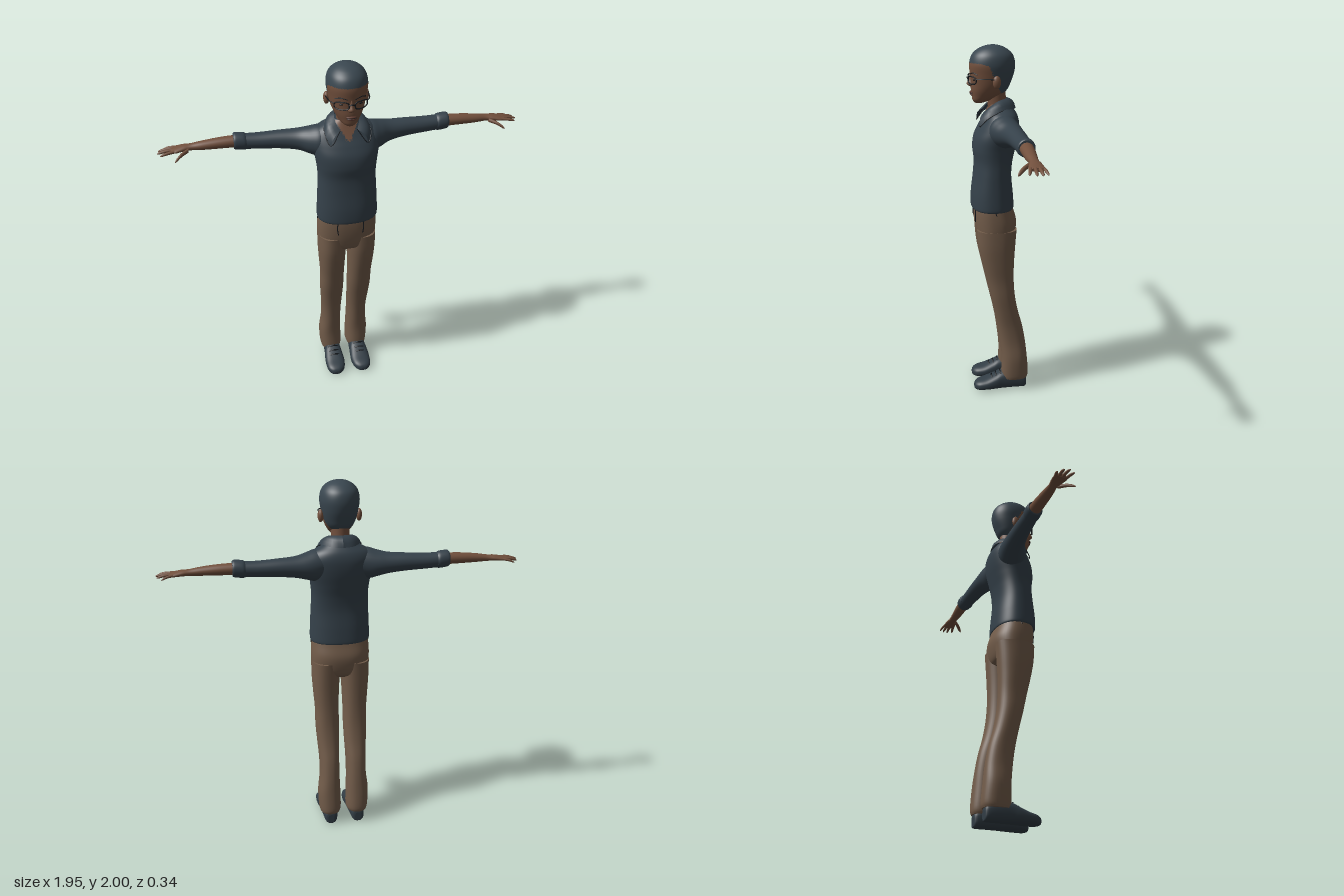
import * as THREE from 'three';

const mat = (name, color, side = THREE.FrontSide) => {
  const m = new THREE.MeshStandardMaterial({ color, side });
  m.name = name;
  return m;
};

// Smooth value between section rows (Catmull-Rom on every column)
function sample(rows, t) {
  const f = t * (rows.length - 1), i = Math.min(Math.floor(f), rows.length - 2), k = f - i;
  const p = [i - 1, i, i + 1, i + 2].map(j => rows[Math.max(0, Math.min(rows.length - 1, j))]);
  return p[1].map((b, c) => {
    const a = p[0][c], d = p[2][c], e = p[3][c];
    return b + 0.5 * k * (d - a + k * (2 * a - 5 * b + 4 * d - e + k * (3 * (b - d) + e - a)));
  });
}

// Skin rounded cross-sections along an axis. Row: [position, u0, u1, v0, v1]
// axis y: u = x, v = z;  axis x: u = z, v = y;  axis z: u = y, v = x
function loft(axis, rows, { n = 24, m = 24, power = 2, pick = null } = {}) {
  const pos = [], idx = [[], []];
  const put = (s, u, v) => pos.push(...(axis === 'y' ? [u, s, v] : axis === 'x' ? [s, v, u] : [v, u, s]));
  const ring = r => {
    for (let j = 0; j < n; j++) {
      const a = j / n * Math.PI * 2, c = Math.cos(a), d = Math.sin(a);
      put(r[0], (r[1] + r[2]) / 2 + (r[2] - r[1]) / 2 * Math.sign(c) * Math.abs(c) ** (2 / power),
        (r[3] + r[4]) / 2 + (r[4] - r[3]) / 2 * Math.sign(d) * Math.abs(d) ** (2 / power));
    }
  };
  const tri = (a, b, c) => {
    const mid = [0, 1, 2].map(k => (pos[a * 3 + k] + pos[b * 3 + k] + pos[c * 3 + k]) / 3);
    idx[pick ? pick(...mid) : 0].push(a, b, c);
  };
  for (let i = 0; i <= m; i++) ring(sample(rows, i / m));
  for (let i = 0; i < m; i++) for (let j = 0; j < n; j++) {
    const a = i * n + j, b = i * n + (j + 1) % n;
    tri(a, a + n, b);
    tri(b, a + n, b + n);
  }
  for (const end of [0, 1]) {
    const r = rows[end ? rows.length - 1 : 0], base = pos.length / 3;
    ring(r);
    put(r[0], (r[1] + r[2]) / 2, (r[3] + r[4]) / 2);
    for (let j = 0; j < n; j++) {
      const a = base + j, b = base + (j + 1) % n;
      end ? tri(base + n, b, a) : tri(base + n, a, b);
    }
  }
  const g = new THREE.BufferGeometry();
  g.setAttribute('position', new THREE.Float32BufferAttribute(pos, 3));
  g.setIndex([...idx[0], ...idx[1]]);
  if (pick) {
    g.addGroup(0, idx[0].length, 0);
    g.addGroup(idx[0].length, idx[1].length, 1);
  }
  g.computeVertexNormals();
  return g;
}

function mirrored(geo) {
  const g = geo.clone().scale(-1, 1, 1), a = g.index.array;
  for (let i = 0; i < a.length; i += 3) [a[i], a[i + 1]] = [a[i + 1], a[i]];
  return g;
}

const tube = (pts, r, closed = false, seg = 24) => new THREE.TubeGeometry(
  new THREE.CatmullRomCurve3(pts.map(p => new THREE.Vector3(...p)), closed), seg, r, 6, closed);
const ball = (x, y, z, sx, sy, sz) => new THREE.SphereGeometry(1, 18, 12).scale(sx, sy, sz).translate(x, y, z);

export function createModel() {
  const model = new THREE.Group();
  model.name = 'person';
  const skin = mat('skin', 0x72503d), shirt = mat('shirt', 0x35414a), hair = mat('hair', 0x3a4750);
  const trousers = mat('trousers', 0x725c4a), shoe = mat('shoe', 0x323d45), dark = mat('dark', 0x15191d);
  const lip = mat('lip', 0x5e3b30), collarMat = mat('collar', 0x35414a, THREE.DoubleSide);
  const add = (name, geo, material) => {
    const mesh = new THREE.Mesh(geo, material);
    mesh.name = name;
    model.add(mesh);
  };
  const pair = (name, geo, material) => {
    add(name + 'Left', geo, material);
    add(name + 'Right', mirrored(geo), material);
  };

  // Head, with the hair as its own faces above the hairline
  const hairline = z => z > 0.06 ? 1.91 - Math.max(0, 0.1 - z) * 0.3
    : 1.74 + 0.155 * Math.max(0, Math.min(1, (z + 0.01) / 0.07));
  add('head', loft('y', [
    [1.695, -0.022, 0.022, 0.085, 0.13], [1.71, -0.043, 0.043, 0.04, 0.142], [1.735, -0.062, 0.062, -0.01, 0.146],
    [1.765, -0.078, 0.078, -0.045, 0.15], [1.80, -0.09, 0.09, -0.062, 0.15], [1.85, -0.1, 0.1, -0.08, 0.155],
    [1.90, -0.106, 0.106, -0.086, 0.158], [1.945, -0.097, 0.097, -0.075, 0.145], [1.975, -0.073, 0.073, -0.045, 0.115],
    [1.993, -0.04, 0.04, -0.008, 0.075], [2.0, -0.003, 0.003, 0.03, 0.036],
  ], { n: 88, m: 88, power: 2.1, pick: (x, y, z) => y > hairline(z) ? 1 : 0 }), [skin, hair]);
  add('neck', loft('y', [
    [1.60, -0.07, 0.07, -0.06, 0.06], [1.65, -0.056, 0.056, -0.05, 0.058],
    [1.70, -0.05, 0.05, -0.04, 0.062], [1.78, -0.052, 0.052, -0.035, 0.07],
  ]), skin);
  add('nose', loft('y', [
    [1.782, -0.012, 0.012, 0.13, 0.156], [1.79, -0.021, 0.021, 0.12, 0.168], [1.80, -0.018, 0.018, 0.12, 0.172],
    [1.82, -0.011, 0.011, 0.12, 0.163], [1.85, -0.007, 0.007, 0.12, 0.155],
  ], { n: 16, m: 14 }), skin);
  add('upperLip', ball(0, 1.752, 0.146, 0.027, 0.006, 0.011), lip);
  add('lowerLip', ball(0, 1.741, 0.145, 0.023, 0.007, 0.011), lip);
  add('mouthLine', ball(0, 1.747, 0.147, 0.026, 0.0018, 0.01), dark);
  pair('ear', ball(0.103, 1.815, 0.022, 0.016, 0.034, 0.022).rotateZ(0), skin);
  pair('eye', ball(0.044, 1.823, 0.136, 0.016, 0.006, 0.007), dark);
  pair('eyebrow', tube([[0.018, 1.85, 0.153], [0.05, 1.859, 0.142], [0.078, 1.85, 0.12]], 0.003), dark);

  // Glasses
  const lensDepth = x => 0.165 - 5 * x * x;
  const rim = [];
  for (let i = 0; i < 20; i++) {
    const a = i / 20 * Math.PI * 2, c = Math.cos(a), s = Math.sin(a);
    const x = 0.05 + 0.035 * Math.sign(c) * Math.abs(c) ** 0.7;
    rim.push([x, 1.821 + 0.02 * Math.sign(s) * Math.abs(s) ** 0.7, lensDepth(x)]);
  }
  pair('glassesRim', tube(rim, 0.0035, true, 48), dark);
  pair('glassesArm', tube([[0.085, 1.83, 0.129], [0.102, 1.832, 0.105], [0.109, 1.832, 0.06], [0.112, 1.828, 0.01]], 0.003), dark);
  add('glassesBridge', tube([[-0.016, 1.825, 0.164], [0, 1.83, 0.17], [0.016, 1.825, 0.164]], 0.0035), dark);

  // Shirt body with an open V at the throat
  add('shirtBody', loft('y', [
    [1.115, -0.163, 0.163, -0.078, 0.152], [1.13, -0.167, 0.167, -0.08, 0.157], [1.20, -0.165, 0.165, -0.075, 0.155],
    [1.30, -0.16, 0.16, -0.066, 0.143], [1.38, -0.157, 0.157, -0.072, 0.138], [1.45, -0.163, 0.163, -0.087, 0.145],
    [1.51, -0.173, 0.173, -0.1, 0.138], [1.56, -0.178, 0.178, -0.106, 0.115], [1.60, -0.175, 0.175, -0.105, 0.092],
    [1.635, -0.15, 0.15, -0.095, 0.074], [1.665, -0.1, 0.1, -0.075, 0.06], [1.69, -0.062, 0.062, -0.055, 0.05],
  ], { n: 80, m: 90, power: 2.3, pick: (x, y, z) => z > 0.03 && y > 1.58 + Math.abs(x) * 1.7 ? 1 : 0 }), [shirt, skin]);

  // Collar: a folded strip from the nape to the front point
  const inner = [[0, 1.72, -0.04], [0.04, 1.718, -0.027], [0.062, 1.71, 0.01], [0.062, 1.685, 0.05], [0.045, 1.65, 0.086]];
  const outer = [[0, 1.665, -0.09], [0.06, 1.667, -0.075], [0.108, 1.668, -0.01], [0.122, 1.628, 0.07], [0.098, 1.582, 0.113]];
  const strip = [], faces = [];
  for (let i = 0; i <= 16; i++) {
    const a = sample(inner, i / 16), b = sample(outer, i / 16);
    for (let k = 0; k <= 4; k++) {
      const t = k / 4, lift = 0.01 * Math.sin(t * Math.PI);
      strip.push(a[0] + (b[0] - a[0]) * t + lift * i / 16, a[1] + (b[1] - a[1]) * t + lift, a[2] + (b[2] - a[2]) * t + lift * (i / 8 - 1));
      if (i < 16 && k < 4) {
        const q = i * 5 + k;
        faces.push(q, q + 5, q + 1, q + 1, q + 5, q + 6);
      }
    }
  }
  const collar = new THREE.BufferGeometry();
  collar.setAttribute('position', new THREE.Float32BufferAttribute(strip, 3));
  collar.setIndex(faces);
  collar.computeVertexNormals();
  pair('collar', collar, collarMat);
  pair('collarEdge', tube([...outer.slice(2), inner[4]], 0.0025), dark);

  // Sleeves, rolled cuffs and forearms
  pair('sleeve', loft('x', [
    [0.08, -0.085, 0.05, 1.50, 1.645], [0.14, -0.098, 0.07, 1.475, 1.645], [0.19, -0.104, 0.05, 1.487, 1.632],
    [0.25, -0.105, 0.016, 1.505, 1.62], [0.34, -0.106, -0.004, 1.517, 1.615], [0.45, -0.106, -0.016, 1.524, 1.61],
    [0.55, -0.104, -0.024, 1.53, 1.612],
  ], { n: 32, m: 32 }), shirt);
  pair('cuff', loft('x', [
    [0.515, -0.106, -0.022, 1.528, 1.61], [0.53, -0.11, -0.018, 1.525, 1.618],
    [0.57, -0.109, -0.019, 1.53, 1.622], [0.582, -0.105, -0.024, 1.535, 1.616],
  ], { n: 32 }), shirt);
  pair('forearm', loft('x', [
    [0.55, -0.1, -0.03, 1.543, 1.607], [0.65, -0.097, -0.031, 1.545, 1.603], [0.74, -0.091, -0.035, 1.547, 1.594],
    [0.80, -0.088, -0.042, 1.55, 1.585], [0.84, -0.095, -0.034, 1.55, 1.582], [0.88, -0.1, -0.025, 1.549, 1.574],
    [0.905, -0.096, -0.032, 1.551, 1.568],
  ], { m: 30 }), skin);

  // Fingers: [root x, root z, root y, tip x, tip z, tip y, radius]
  [[0.88, -0.09, 1.562, 0.945, -0.107, 1.545, 0.008], [0.89, -0.074, 1.563, 0.968, -0.08, 1.55, 0.009],
    [0.89, -0.056, 1.563, 0.975, -0.051, 1.552, 0.009], [0.885, -0.036, 1.562, 0.96, -0.02, 1.552, 0.009],
    [0.815, -0.042, 1.56, 0.888, 0.018, 1.53, 0.012]].forEach(([x, z, y, X, Z, Y, r], i) => {
    const rows = [[0, 1], [0.5, 0.95], [0.85, 0.75], [1, 0.25]].map(([t, k]) => {
      const cz = z + (Z - z) * t, cy = y + (Y - y) * (t * t), s = r * k;
      return [x + (X - x) * t, cz - s, cz + s, cy - s * 0.9, cy + s * 0.9];
    });
    pair(i === 4 ? 'thumb' : 'finger' + (i + 1), loft('x', rows, { n: 12, m: 12 }), skin);
  });

  // Trousers
  add('trouserSeat', loft('y', [
    [0.905, -0.10, 0.10, -0.045, 0.085], [0.93, -0.148, 0.148, -0.075, 0.118], [0.98, -0.161, 0.161, -0.09, 0.132],
    [1.04, -0.164, 0.164, -0.094, 0.14], [1.10, -0.161, 0.161, -0.078, 0.142], [1.15, -0.155, 0.155, -0.065, 0.138],
  ], { n: 48, power: 2.4 }), trousers);
  pair('trouserLeg', loft('y', [
    [0.07, 0.022, 0.138, -0.158, -0.008], [0.10, 0.016, 0.144, -0.164, -0.006], [0.20, 0.018, 0.148, -0.156, -0.008],
    [0.30, 0.021, 0.137, -0.145, 0.002], [0.40, 0.02, 0.136, -0.127, 0.016], [0.50, 0.016, 0.143, -0.1, 0.036],
    [0.60, 0.013, 0.149, -0.082, 0.06], [0.70, 0.013, 0.149, -0.075, 0.082], [0.80, 0.01, 0.156, -0.076, 0.105],
    [0.90, 0.005, 0.162, -0.082, 0.124], [1.0, 0.0, 0.163, -0.09, 0.132],
  ], { n: 36, m: 44, power: 2.3 }), trousers);
  pair('pocketSeam', tube([[0.07, 1.12, 0.138], [0.073, 1.08, 0.139], [0.068, 1.04, 0.138]], 0.003), dark);
  pair('sidePocketSeam', tube([[0.161, 1.12, 0.035], [0.164, 1.10, 0.03]], 0.003), dark);

  // Shoes with laces
  pair('shoe', loft('z', [
    [-0.152, 0.006, 0.06, 0.062, 0.1], [-0.14, 0, 0.085, 0.045, 0.116], [-0.08, 0, 0.108, 0.035, 0.124],
    [-0.01, 0, 0.108, 0.028, 0.13], [0.03, 0, 0.09, 0.024, 0.136], [0.08, 0, 0.068, 0.022, 0.138],
    [0.125, 0, 0.056, 0.032, 0.132], [0.148, 0.003, 0.044, 0.052, 0.115], [0.156, 0.012, 0.03, 0.07, 0.098],
  ], { n: 32, m: 36, power: 2.6 }), shoe);
  [[0.0, 0.108], [0.025, 0.094], [0.05, 0.082]].forEach(([z, y], i) =>
    pair('lace' + (i + 1), tube([[0.05, y - 0.008, z], [0.08, y + 0.001, z + 0.004], [0.11, y - 0.008, z]], 0.004), dark));

  return model;
}
